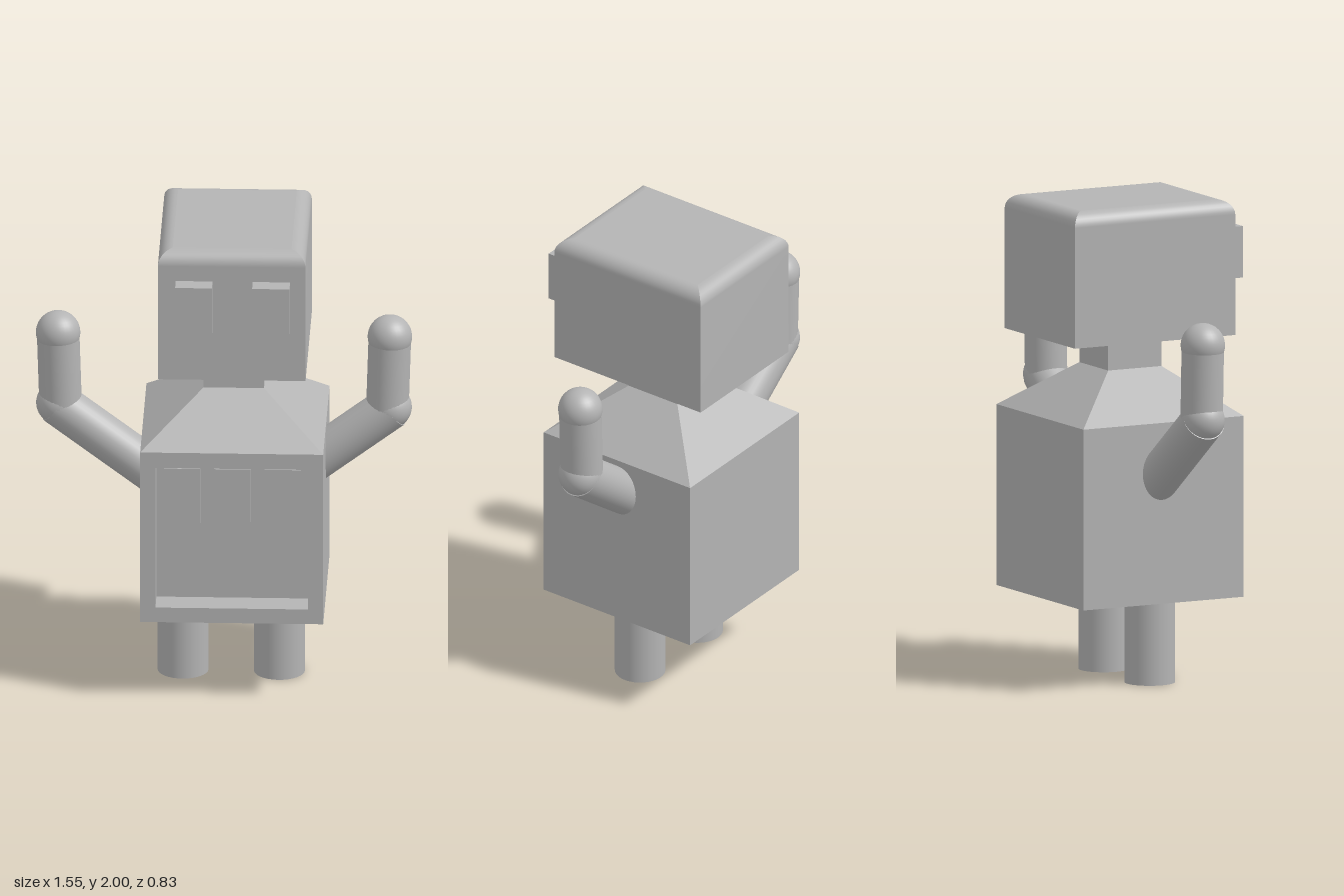
import * as THREE from 'three';
import { mergeGeometries } from 'three/addons/utils/BufferGeometryUtils.js';

const grey = new THREE.MeshStandardMaterial({ color: 0xb4b4b4 });
grey.name = 'grey';

// Indexed geometry with its own normals
function patch(points, index) {
  const g = new THREE.BufferGeometry();
  g.setAttribute('position', new THREE.Float32BufferAttribute(points.flat(), 3));
  g.setIndex(index);
  g.computeVertexNormals();
  return g;
}

// Stack of rectangles [y, x0, x1, z0, z1], smooth upwards, sharp at the four corners
function loft(sections) {
  const rings = sections.map(([y, x0, x1, z0, z1]) =>
    [[x0, y, z1], [x1, y, z1], [x1, y, z0], [x0, y, z0]]);
  const parts = [];
  for (let s = 0; s < 4; s++) {
    const index = [];
    for (let i = 0; i < rings.length - 1; i++) {
      const a = 2 * i;
      index.push(a, a + 1, a + 3, a, a + 3, a + 2);
    }
    parts.push(patch(rings.flatMap(r => [r[s], r[(s + 1) % 4]]), index));
  }
  parts.push(patch(rings[0], [0, 2, 1, 0, 3, 2]));
  parts.push(patch(rings[rings.length - 1], [0, 1, 2, 0, 2, 3]));
  return mergeGeometries(parts);
}

export function createModel() {
  const model = new THREE.Group();
  model.name = 'robot';

  const add = (name, geometry, parent = model) => {
    const mesh = new THREE.Mesh(geometry, grey);
    mesh.name = name;
    parent.add(mesh);
    return mesh;
  };
  const box = (name, x0, x1, y0, y1, z0, z1) =>
    add(name, new THREE.BoxGeometry(x1 - x0, y1 - y0, z1 - z0))
      .position.set((x0 + x1) / 2, (y0 + y1) / 2, (z0 + z1) / 2);
  const rod = (name, a, b, r, parent) => {
    const d = b.clone().sub(a);
    const mesh = add(name, new THREE.CylinderGeometry(r, r, d.length(), 32), parent);
    mesh.position.copy(a).addScaledVector(d, 0.5);
    mesh.quaternion.setFromUnitVectors(new THREE.Vector3(0, 1, 0), d.normalize());
  };

  // Torso: solid back with a framed recess in front
  const x0 = -0.333, x1 = 0.423, y0 = 0.352, y1 = 1.108, z0 = -0.41, z1 = 0.342;
  const floor = z1 - 0.12;
  box('torso', x0, x1, y0, y1, z0, floor);
  const rect = (Type, l, r, b, t) => new Type([[l, b], [r, b], [r, t], [l, t]]
    .map(p => new THREE.Vector2(...p)));
  const frame = rect(THREE.Shape, x0, x1, y0, y1);
  frame.holes.push(rect(THREE.Path, -0.27, 0.36, 0.417, 1.04));
  add('chestFrame', new THREE.ExtrudeGeometry(frame, { depth: z1 - floor, bevelEnabled: false }))
    .position.z = floor;
  for (const x of [-0.238, -0.03, 0.178]) {
    box('chestButton', x, x + 0.15, 0.76, 1.01, floor, floor + 0.053);
  }

  // Sloped shoulders and neck
  add('shoulders', loft([[y1, x0, x1, z0, z1], [1.3, -0.08, 0.17, -0.157, 0.093]]));
  box('neck', -0.08, 0.17, 1.3, 1.436, -0.157, 0.093);

  // Head with rounded upper edges
  const r = 0.06;
  const head = [[1.436, -0.26, 0.35, z0, z1]];
  for (let i = 0; i <= 8; i++) {
    const a = i / 8 * Math.PI / 2, inset = r * (1 - Math.cos(a));
    head.push([2 - r + r * Math.sin(a), -0.26 + inset, 0.35 - inset, z0 + inset, z1 - inset]);
  }
  add('head', loft(head));
  box('rightEye', -0.186, -0.034, 1.66, 1.875, z1, 0.418);
  box('leftEye', 0.132, 0.286, 1.66, 1.875, z1, 0.418);

  // Legs
  [['rightLeg', -0.168], ['leftLeg', 0.23]].forEach(([name, x]) =>
    rod(name, new THREE.Vector3(x, 0, -0.01), new THREE.Vector3(x, y0, -0.01), 0.105));

  // Raised arms
  for (const [name, s] of [['rightArm', -1], ['leftArm', 1]]) {
    const arm = new THREE.Group();
    arm.name = name;
    model.add(arm);
    const at = (x, y) => new THREE.Vector3(s * x, y, -0.04);
    const elbow = at(0.685, 1.17), hand = at(0.685, 1.483);
    rod('upperArm', at(0.2, 0.8), at(0.692, 1.17), 0.091, arm);
    rod('forearm', at(0.675, 1.17), hand, 0.088, arm);
    add('elbow', new THREE.SphereGeometry(0.091, 32, 20), arm).position.copy(elbow);
    add('hand', new THREE.SphereGeometry(0.092, 32, 20), arm).position.copy(hand);
  }

  return model;
}
